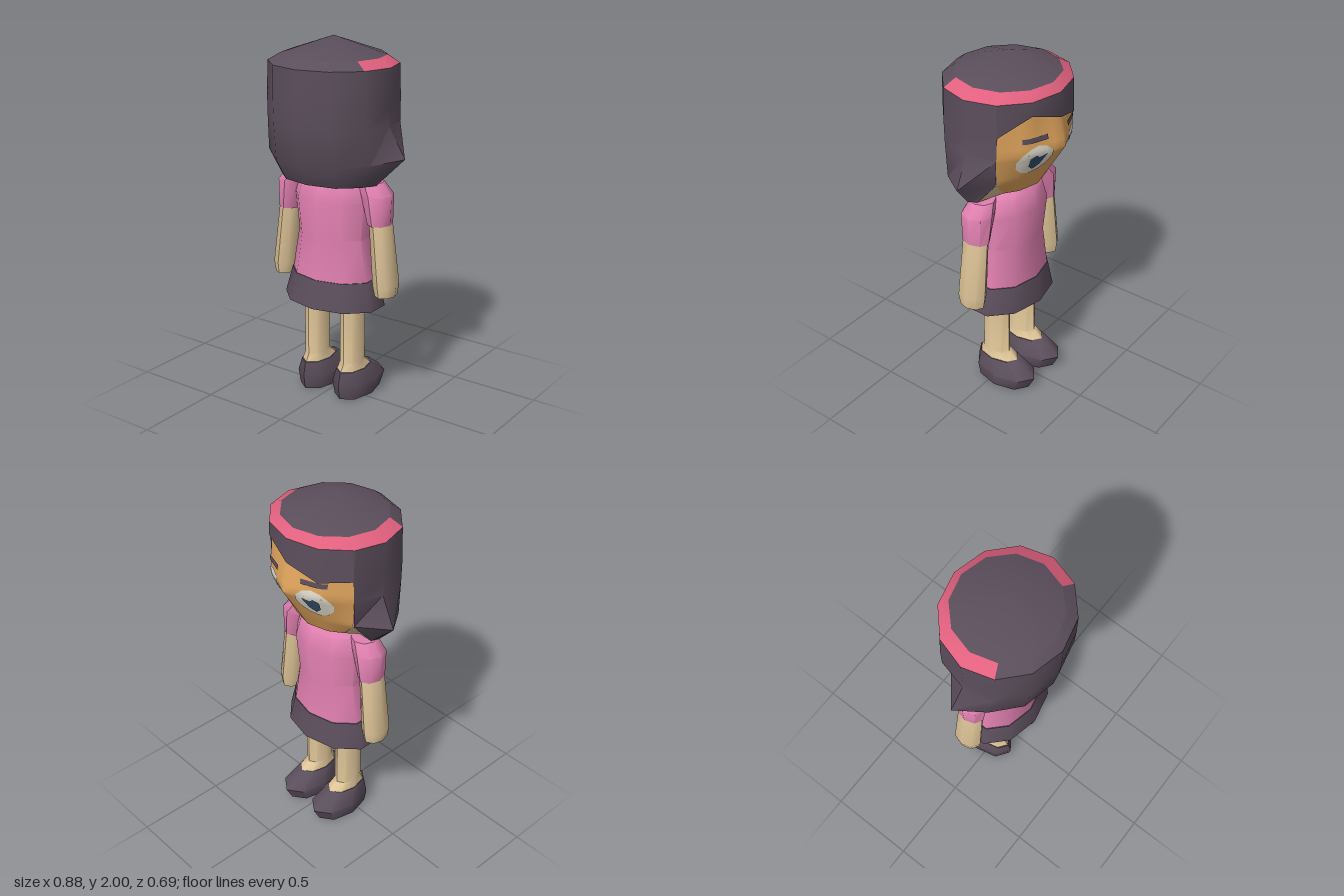
import * as THREE from 'three';
import { toCreasedNormals } from 'three/addons/utils/BufferGeometryUtils.js';

const paint = (name, color, side = THREE.FrontSide) => {
  const m = new THREE.MeshStandardMaterial({ color, side });
  m.name = name;
  return m;
};

// Surface through rows of [x, y, z] points, rows going up, points anticlockwise from above.
function skin(rows, { closed = false, bottom = false, top = false, crease = 0.8 } = {}) {
  const n = rows[0].length, index = [], points = rows.flat();
  const cols = closed ? n : n - 1;
  for (let r = 0; r < rows.length - 1; r++) {
    for (let c = 0; c < cols; c++) {
      const a = r * n + c, b = r * n + (c + 1) % n;
      index.push(a, b, b + n, a, b + n, a + n);
    }
  }
  const last = (rows.length - 1) * n;
  for (let c = 1; c < n - 1; c++) {
    if (bottom) index.push(0, c + 1, c);
    if (top) index.push(last, last + c, last + c + 1);
  }
  const g = new THREE.BufferGeometry();
  g.setAttribute('position', new THREE.Float32BufferAttribute(points.flat(), 3));
  g.setIndex(index);
  return toCreasedNormals(g, crease);
}

// Elliptical ring and a tube lofted through rings [y, centreX, radiusX, centreZ, radiusZ].
const ring = (n, [y, cx, rx, cz, rz]) => Array.from({ length: n }, (_, k) => {
  const a = k / n * Math.PI * 2;
  return [cx + rx * Math.sin(a), y, cz + rz * Math.cos(a)];
});
const loft = (n, rings) => skin(rings.map(r => ring(n, r)), { closed: true, bottom: true, top: true });

// Mirrors a half row [x, y, z] listed from the centre outwards.
const spread = (half, sign) => [
  ...half.slice(1).reverse().map(([x, y, z]) => [-sign * x, y, z]),
  ...half.map(([x, y, z]) => [sign * x, y, z]),
];

// Face rows: height and half outline [x, z] from the centre to the temple.
const FACE = [
  [1.30, [[0, -0.18], [0.12, -0.15], [0.19, -0.10]]],
  [1.40, [[0, -0.24], [0.145, -0.195], [0.28, -0.125]]],
  [1.575, [[0, -0.345], [0.19, -0.26], [0.31, -0.148]]],
  [1.80, [[0, -0.285], [0.18, -0.25], [0.305, -0.15]]],
];
const mix = THREE.MathUtils.lerp;
function faceRow(v) {
  const i = Math.min(Math.floor(v), FACE.length - 2), t = v - i;
  const [y0, p] = FACE[i], [y1, q] = FACE[i + 1];
  return { y: mix(y0, y1, t), half: p.map(([x, z], k) => [mix(x, q[k][0], t), mix(z, q[k][1], t)]) };
}
function faceZ(x, y) {
  let i = 0;
  while (i < FACE.length - 2 && y > FACE[i + 1][0]) i++;
  const { half } = faceRow(i + (y - FACE[i][0]) / (FACE[i + 1][0] - FACE[i][0]));
  const k = Math.abs(x) > half[1][0] ? 1 : 0;
  return mix(half[k][1], half[k + 1][1], (Math.abs(x) - half[k][0]) / (half[k + 1][0] - half[k][0]));
}

// Bends a flat shape onto the face.
function decal(geometry, cx, cy, side, lift) {
  const p = geometry.attributes.position;
  for (let i = 0; i < p.count; i++) {
    const x = cx + p.getX(i), y = cy + p.getY(i);
    p.setXYZ(i, side * x, y, faceZ(x, y) - lift);
  }
  geometry.computeVertexNormals();
  return geometry;
}

export function createModel() {
  const group = new THREE.Group();
  const hair = paint('dark plum', 0x5b4e5b, THREE.DoubleSide);
  const band = paint('coral', 0xe0607e);
  const face = paint('warm tan', 0xdfa45c);
  const light = paint('light skin', 0xdfc598, THREE.DoubleSide);
  const pink = paint('pink', 0xe080b0);
  const white = paint('eye white', 0xe6e0d2, THREE.DoubleSide);
  const blue = paint('eye blue', 0x34506e, THREE.DoubleSide);
  const add = (name, geometry, material) => {
    const mesh = new THREE.Mesh(geometry, material);
    mesh.name = name;
    group.add(mesh);
  };

  // Body
  add('shirt', loft(10, [
    [0.70, 0, 0.257, 0, 0.18], [0.93, 0, 0.217, 0, 0.16], [1.14, 0, 0.235, 0, 0.18],
    [1.24, 0, 0.205, 0, 0.155], [1.285, 0, 0.12, -0.01, 0.10],
  ]), pink);
  add('skirt', loft(10, [[0.545, 0, 0.305, 0.004, 0.213], [0.70, 0, 0.262, 0, 0.184]]), hair);
  add('neck', loft(10, [[1.22, 0, 0.09, 0, 0.08], [1.34, 0, 0.09, 0, 0.08]]), light);

  // Limbs
  for (const s of [1, -1]) {
    const side = s > 0 ? 'left' : 'right';
    add(side + 'Sleeve', loft(8, [
      [1.03, s * 0.294, 0.062, 0, 0.081], [1.19, s * 0.275, 0.088, 0, 0.09],
      [1.255, s * 0.235, 0.07, 0, 0.07],
    ]), pink);
    add(side + 'Arm', loft(8, [
      [0.637, s * 0.337, 0.055, 0, 0.074], [0.70, s * 0.335, 0.066, 0, 0.084],
      [1.04, s * 0.298, 0.056, 0, 0.077],
    ]), light);
    add(side + 'Leg', loft(8, [
      [0.155, s * 0.12, 0.074, -0.015, 0.13], [0.20, s * 0.12, 0.06, 0.002, 0.086],
      [0.56, s * 0.12, 0.062, 0.002, 0.084],
    ]), light);
    add(side + 'Shoe', loft(8, [
      [0, s * 0.12, 0.10, -0.05, 0.172], [0.08, s * 0.12, 0.115, -0.063, 0.199],
      [0.16, s * 0.12, 0.076, -0.015, 0.135],
    ]), hair);
  }

  // Face, subdivided so that the eyes lie flat on it
  const faceRows = [];
  for (let v = 0; v <= 18; v++) {
    const { y, half } = faceRow(v / 6);
    const fine = Array.from({ length: 9 }, (_, u) => {
      const k = Math.min(Math.floor(u / 4), 1), t = u / 4 - k;
      return [mix(half[k][0], half[k + 1][0], t), y, mix(half[k][1], half[k + 1][1], t)];
    });
    faceRows.push(spread(fine, -1));
  }
  add('face', skin(faceRows), face);
  add('jaw', skin([
    spread([[0, 1.26, 0], [0.12, 1.26, 0], [0.20, 1.252, 0], [0.28, 1.252, 0]], -1),
    spread([[0, 1.30, -0.18], [0.12, 1.30, -0.15], [0.19, 1.30, -0.10], [0.28, 1.40, -0.125]], -1),
  ]), light);

  // Eyes and brows
  const irisOutline = [[-0.042, 0.045], [-0.006, 0.03], [0.018, 0.048], [0.042, 0.03],
    [0.032, -0.022], [0, -0.05], [-0.028, -0.024]].map(([x, y]) => new THREE.Vector2(x, y));
  for (const s of [1, -1]) {
    const side = s > 0 ? 'left' : 'right';
    add(side + 'Eye', decal(new THREE.RingGeometry(0.001, 0.088, 12, 4), 0.14, 1.532, s, 0.005), white);
    add(side + 'Iris', decal(new THREE.ShapeGeometry(new THREE.Shape(irisOutline)), 0.137, 1.522, s, 0.009), blue);
    add(side + 'Brow', decal(new THREE.PlaneGeometry(0.13, 0.028, 6, 1), 0.15, 1.655, s, 0.006), hair);
  }

  // Crown and headband: a twelve-sided cap whose front eight bevel faces are the band
  const outer = ring(12, [1.865, 0, 0.355, 0.015, 0.325]);
  const inner = ring(12, [1.905, 0, 0.283, 0.012, 0.276]);
  const arc = (points, from, count) => Array.from({ length: count + 1 }, (_, i) => points[(from + i) % 12]);
  add('crown', skin([inner, inner.map(() => [0, 2, 0.012])], { closed: true }), hair);
  add('crownBack', skin([arc(outer, 10, 4), arc(inner, 10, 4)]), hair);
  add('headband', skin([arc(outer, 2, 8), arc(inner, 2, 8)]), band);

  // Side-parted fringe
  add('fringe', skin([
    [[0.31, 1.69, -0.155], [0.18, 1.79, -0.268], [0, 1.73, -0.315], [-0.18, 1.675, -0.272], [-0.31, 1.69, -0.155]],
    arc(outer, 4, 4),
  ]), hair);

  // Long hair with flared side locks; half rows run from the back centre to the temple
  const locks = [
    [[0, 1.25, 0.25], [0.16, 1.25, 0.22], [0.26, 1.25, 0.13], [0.30, 1.25, 0.05], [0.285, 1.25, 0]],
    [[0, 1.36, 0.31], [0.185, 1.36, 0.27], [0.33, 1.38, 0.15], [0.44, 1.40, 0], [0.285, 1.40, -0.125]],
    [[0, 1.56, 0.335], [0.18, 1.56, 0.293], [0.315, 1.56, 0.175], [0.35, 1.56, 0.01], [0.312, 1.56, -0.15]],
    [[0, 1.69, 0.342], [0.18, 1.69, 0.297], [0.313, 1.69, 0.18], [0.35, 1.66, 0.015], [0.31, 1.69, -0.155]],
  ].map(half => spread(half, 1));
  add('longHair', skin([...locks, arc(outer, 8, 8)], { bottom: true }), hair);

  return group;
}
